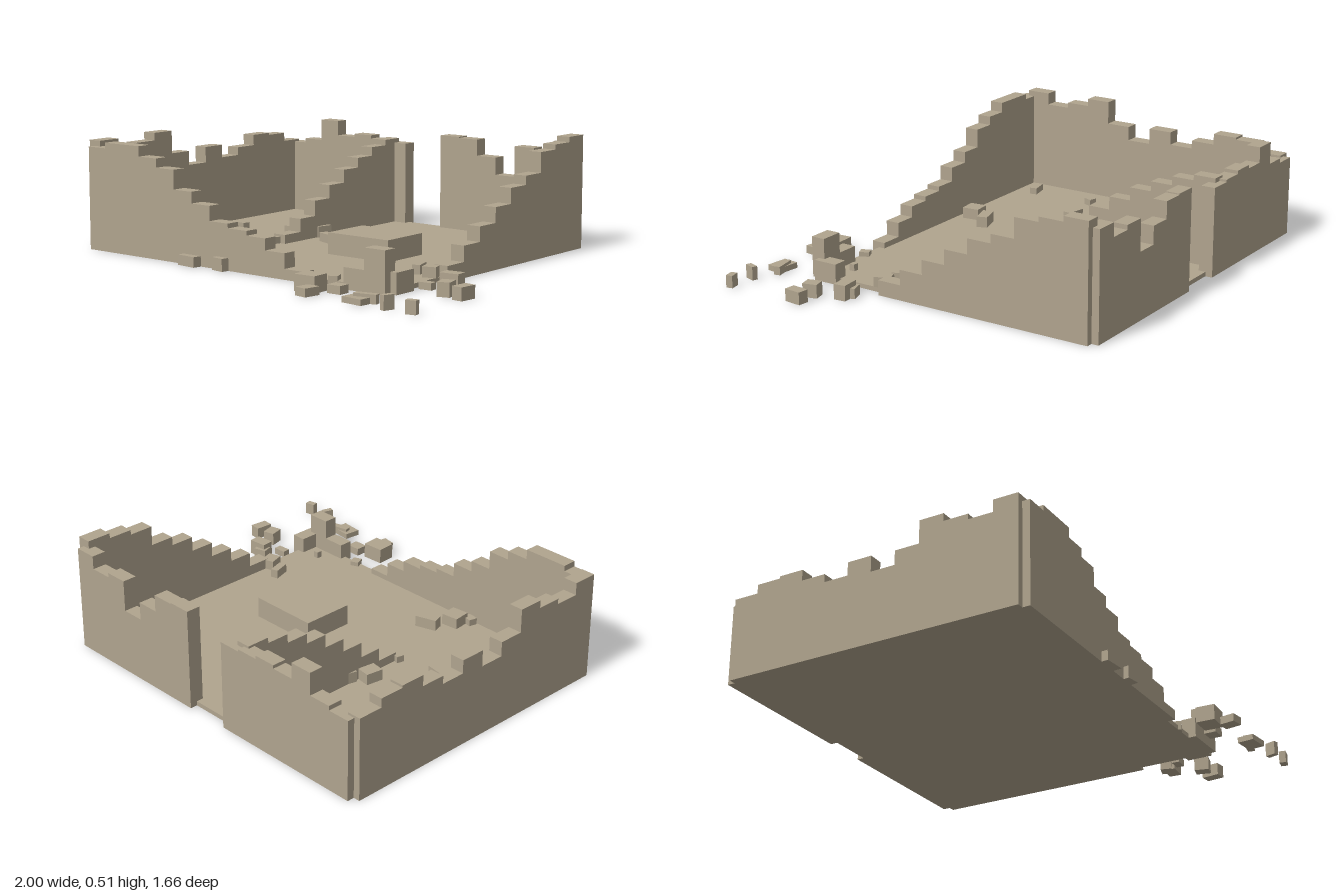
import * as THREE from 'three';

const stone = new THREE.MeshStandardMaterial({ color: 0xb0a48e });
stone.name = 'weathered stone';

const FLOOR = 0.02;

// Box standing on height y, centred at x, z
function block(parent, name, x, y, z, w, h, d, turn = 0) {
  const mesh = new THREE.Mesh(new THREE.BoxGeometry(w, h, d), stone);
  mesh.name = name;
  mesh.position.set(x, y + h / 2, z);
  mesh.rotation.y = turn;
  parent.add(mesh);
}

// Broken wall: a row of columns along an axis; height 0 leaves a breach
function wall(parent, name, axis, start, end, across, heights) {
  const group = new THREE.Group();
  group.name = name;
  const step = (end - start) / heights.length;
  const thick = 0.065;
  heights.forEach((h, i) => {
    if (!h) return;
    const along = start + (i + 0.5) * step;
    if (axis === 'x') block(group, name + 'Column', along, 0, across, step, h, thick);
    else block(group, name + 'Column', across, 0, along, thick, h, step);
  });
  parent.add(group);
}

export function createModel() {
  const model = new THREE.Group();
  model.name = 'ruinedHouse';

  // Floor slab and the low table block
  block(model, 'floor', -0.143, 0, -0.12, 1.655, FLOOR, 1.36);
  block(model, 'table', 0.163, 0, -0.01, 0.326, 0.115, 0.24);

  // Outer walls, with a doorway at the back and a collapsed front corner
  wall(model, 'frontWall', 'x', -0.97, 0.685, 0.5625,
    [0.46, 0.485, 0.485, 0.44, 0.4, 0.315, 0.265, 0.2, 0.18, 0.16, 0.11, 0.045, 0, 0, 0.09, 0.18]);
  wall(model, 'backWallWest', 'x', -0.97, -0.245, -0.8,
    [0.36, 0.38, 0.48, 0.41, 0.425, 0.41, 0.4]);
  wall(model, 'backWallEast', 'x', -0.04, 0.685, -0.8,
    [0.455, 0.45, 0.375, 0.295, 0.435, 0.415, 0.475]);
  wall(model, 'westWall', 'z', -0.8, 0.56, -0.9675,
    [0.37, 0.41, 0.42, 0.37, 0.333, 0.393, 0.32, 0.385, 0.49, 0.455, 0.43, 0.485]);
  wall(model, 'eastWall', 'z', -0.8, 0.56, 0.6825,
    [0.51, 0.487, 0.465, 0.375, 0.335, 0.267, 0.2, 0.135, 0.067, 0, 0, 0.09]);

  // Inner partition crumbling towards the front
  wall(model, 'partition', 'z', -0.8, 0.035, -0.3425,
    [0.42, 0.395, 0.355, 0.31, 0.25, 0.19, 0.12, 0.06]);

  // Fallen stones: x, z, width, height, depth, turn
  const inside = [
    [-0.755, -0.165, 0.08, 0.03, 0.035, -0.17],
    [-0.41, -0.155, 0.065, 0.05, 0.08, -0.15],
    [-0.335, -0.235, 0.085, 0.05, 0.075, -0.25],
    [-0.185, -0.12, 0.1, 0.04, 0.04, -0.35],
    [-0.105, -0.235, 0.06, 0.05, 0.075, 0.35],
    [-0.585, 0.08, 0.09, 0.03, 0.04, -0.15],
    [-0.785, 0.11, 0.035, 0.03, 0.04, -0.3],
    [-0.815, 0.435, 0.085, 0.03, 0.035, 0.2],
    [-0.26, 0.355, 0.1, 0.05, 0.05, 0.3],
    [-0.325, 0.46, 0.08, 0.05, 0.08, 0.1],
    [-0.37, 0.045, 0.06, 0.03, 0.035, -0.2],
    [-0.37, 0.51, 0.05, 0.03, 0.04, -0.2],
    [0.565, 0.21, 0.035, 0.04, 0.08, 0.3],
    [0.65, 0.24, 0.06, 0.045, 0.07, 0.3],
    [0.57, 0.465, 0.025, 0.03, 0.025, 0],
  ];
  const outside = [
    [-0.35, 0.605, 0.1, 0.045, 0.05, -0.1],
    [-0.175, 0.6, 0.065, 0.055, 0.05, -0.15],
    [0.39, 0.545, 0.04, 0.04, 0.045, 0.4],
    [0.395, 0.7, 0.1, 0.07, 0.085, 0.05],
    [0.44, 0.775, 0.06, 0.035, 0.075, -0.15],
    [0.505, 0.665, 0.065, 0.035, 0.055, 0],
    [0.685, 0.765, 0.1, 0.025, 0.075, -0.1],
    [0.71, 0.745, 0.1, 0.038, 0.03, 0.2],
    [0.85, 0.795, 0.025, 0.06, 0.05, -0.3],
    [0.97, 0.8, 0.045, 0.055, 0.03, 0.2],
    [0.96, 0.455, 0.05, 0.055, 0.08, -0.1],
    [0.87, 0.445, 0.055, 0.06, 0.065, 0.25],
    [0.735, 0.385, 0.06, 0.03, 0.035, 0.05],
    [0.81, 0.32, 0.085, 0.068, 0.055, 0.1],
    [0.785, 0.305, 0.06, 0.045, 0.05, 0.3],
  ];
  const rubble = new THREE.Group();
  rubble.name = 'rubble';
  for (const [x, z, w, h, d, turn] of inside) block(rubble, 'fallenStone', x, FLOOR, z, w, h, d, turn);
  for (const [x, z, w, h, d, turn] of outside) block(rubble, 'fallenStone', x, 0, z, w, h, d, turn);
  model.add(rubble);

  return model;
}
